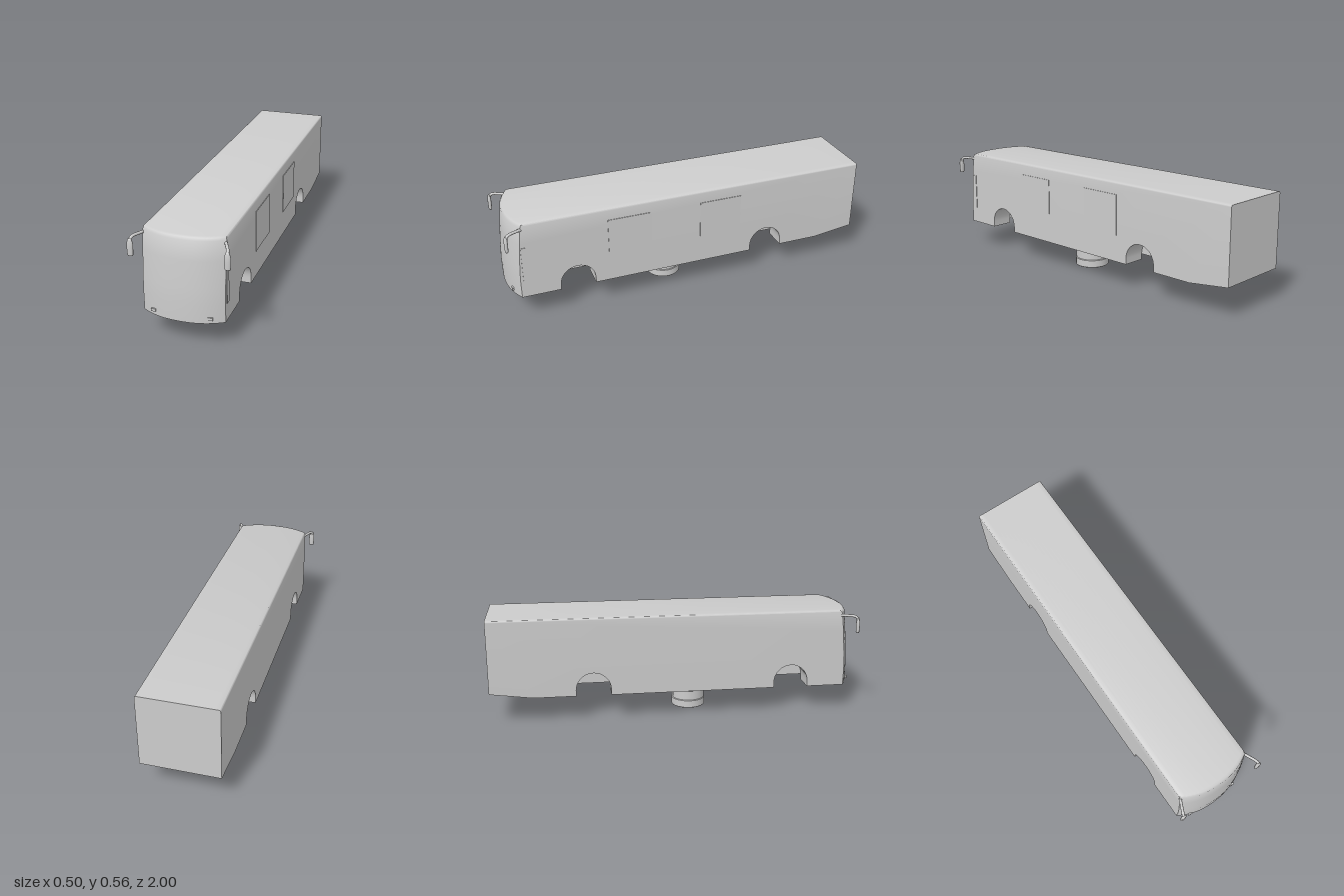
import * as THREE from 'three';
import { mergeGeometries, toCreasedNormals } from 'three/addons/utils/BufferGeometryUtils.js';

const HALF = 0.204, ROOF = 0.565, EDGE = 0.01, LOW = 0.138, FLOOR = 0.17;

// how far the windscreen curves back at a given x
const bow = (x) => 0.055 * Math.pow(Math.abs(x) / HALF, 2.3);

// wheel arch cut, as [z, y] points running backwards
function arch(c, r = 0.094) {
  const pts = [[c + r, LOW]];
  for (let i = 0; i <= 16; i++) {
    const a = (i / 16) * Math.PI;
    pts.push([c + r * Math.cos(a), FLOOR + r * Math.sin(a)]);
  }
  pts.push([c - r, LOW]);
  return pts;
}

// side profile shared by all layers, closed with a different underside
function profile(underside) {
  return [
    [-1, ROOF], [0.945, ROOF], [0.957, 0.56], [0.965, 0.548], [0.976, 0.45],
    [0.987, 0.32], [0.991, 0.24], [0.99, LOW], ...underside, [-1, 0.168],
  ];
}

// a lengthwise slab between two x positions, bowed at the front and rounded at the roof edge
function slab(x0, x1, pts, steps) {
  const shape = new THREE.Shape(pts.map(([z, y]) => new THREE.Vector2(-z, y)));
  const g = new THREE.ExtrudeGeometry(shape, { depth: x1 - x0, steps, bevelEnabled: false });
  g.rotateY(Math.PI / 2).translate(x0, 0, 0);
  const p = g.attributes.position;
  for (let i = 0; i < p.count; i++) {
    const x = p.getX(i);
    const over = Math.min(EDGE, Math.max(0, Math.abs(x) - (HALF - EDGE)));
    const drop = EDGE - Math.sqrt(EDGE * EDGE - over * over);
    p.setY(i, Math.min(p.getY(i), ROOF - drop));
    if (p.getZ(i) > 0.92) p.setZ(i, p.getZ(i) - bow(x));
  }
  return g;
}

export function createModel() {
  const model = new THREE.Group();
  const grey = new THREE.MeshStandardMaterial({ color: 0xcccccc });
  grey.name = 'light grey';

  const add = (name, geometry, x = 0, y = 0, z = 0) => {
    const mesh = new THREE.Mesh(geometry, grey);
    mesh.name = name;
    mesh.position.set(x, y, z);
    model.add(mesh);
    return mesh;
  };

  // body: raised floor in the middle, lockers and arches at the sides, thin outer skirts
  const front = arch(0.635), rear = arch(-0.448);
  const core = profile([[0.9, FLOOR]]);
  const lockers = profile([
    ...front, [0.28, LOW], [0.28, FLOOR], [-0.05, FLOOR], [-0.05, LOW],
    ...rear, [-0.77, LOW], [-0.77, FLOOR],
  ]);
  const skirt = profile([...front, ...rear, [-0.77, LOW]]);
  const inner = 0.08, outer = HALF - EDGE;
  const layers = [slab(-inner, inner, core, 8)];
  for (const s of [-1, 1]) {
    const side = (a, b, pts, n) => layers.push(slab(Math.min(s * a, s * b), Math.max(s * a, s * b), pts, n));
    side(inner, outer, lockers, 6);
    side(outer, HALF, skirt, 5);
  }
  add('body', toCreasedNormals(mergeGeometries(layers), 0.6));

  // panels on the left side
  for (const [z, w] of [[-0.168, 0.235], [0.345, 0.235]]) {
    add('sidePanel', new THREE.BoxGeometry(0.004, 0.22, w), HALF + 0.001, 0.39, z);
  }
  add('frontSidePanel', new THREE.BoxGeometry(0.004, 0.2, 0.03), HALF + 0.001, 0.33, 0.905);

  // small front lamps
  for (const s of [-1, 1]) {
    const x = s * 0.141;
    add('frontLamp', new THREE.BoxGeometry(0.024, 0.014, 0.009), x, 0.165, 0.992 - bow(x) + 0.002);
  }

  // mirrors on curved arms
  const headProfile = [
    [0, -0.042], [0.012, -0.041], [0.0145, -0.036], [0.016, 0], [0.0155, 0.022],
    [0.011, 0.036], [0.008, 0.044], [0, 0.046],
  ].map(([r, y]) => new THREE.Vector2(r, y));
  for (const s of [-1, 1]) {
    const path = new THREE.CatmullRomCurve3([
      [0.196, 0.535, 0.9], [0.212, 0.536, 0.935], [0.226, 0.536, 0.965],
      [0.233, 0.529, 0.982], [0.234, 0.505, 0.989],
    ].map(([x, y, z]) => new THREE.Vector3(s * x, y, z)));
    add('mirrorArm', new THREE.TubeGeometry(path, 20, 0.0075, 10));
    const head = add('mirrorHead', new THREE.LatheGeometry(headProfile, 20), s * 0.234, 0.485, 0.99);
    head.scale.z = 0.6;
  }

  // round drum below the floor, with grooves and a recessed middle band
  const drumProfile = [
    [0, 0], [0.091, 0], [0.093, 0.002], [0.093, 0.041], [0.09, 0.045], [0.09, 0.096],
    [0.093, 0.1], [0.093, 0.134], [0.09, 0.137], [0.09, 0.172], [0, 0.172],
  ].map(([r, y]) => new THREE.Vector2(r, y));
  const drumZ = 0.093;
  add('drum', toCreasedNormals(new THREE.LatheGeometry(drumProfile, 48), 0.5), 0, 0, drumZ);

  // raised curved plates around the band
  for (let i = 0; i < 5; i++) {
    const start = (i / 5) * Math.PI * 2 - 0.32;
    const plate = new THREE.CylinderGeometry(0.0925, 0.0925, 0.036, 10, 1, true, start, 0.7);
    add('bandPlate', plate, 0, 0.071, drumZ);
  }

  return model;
}
